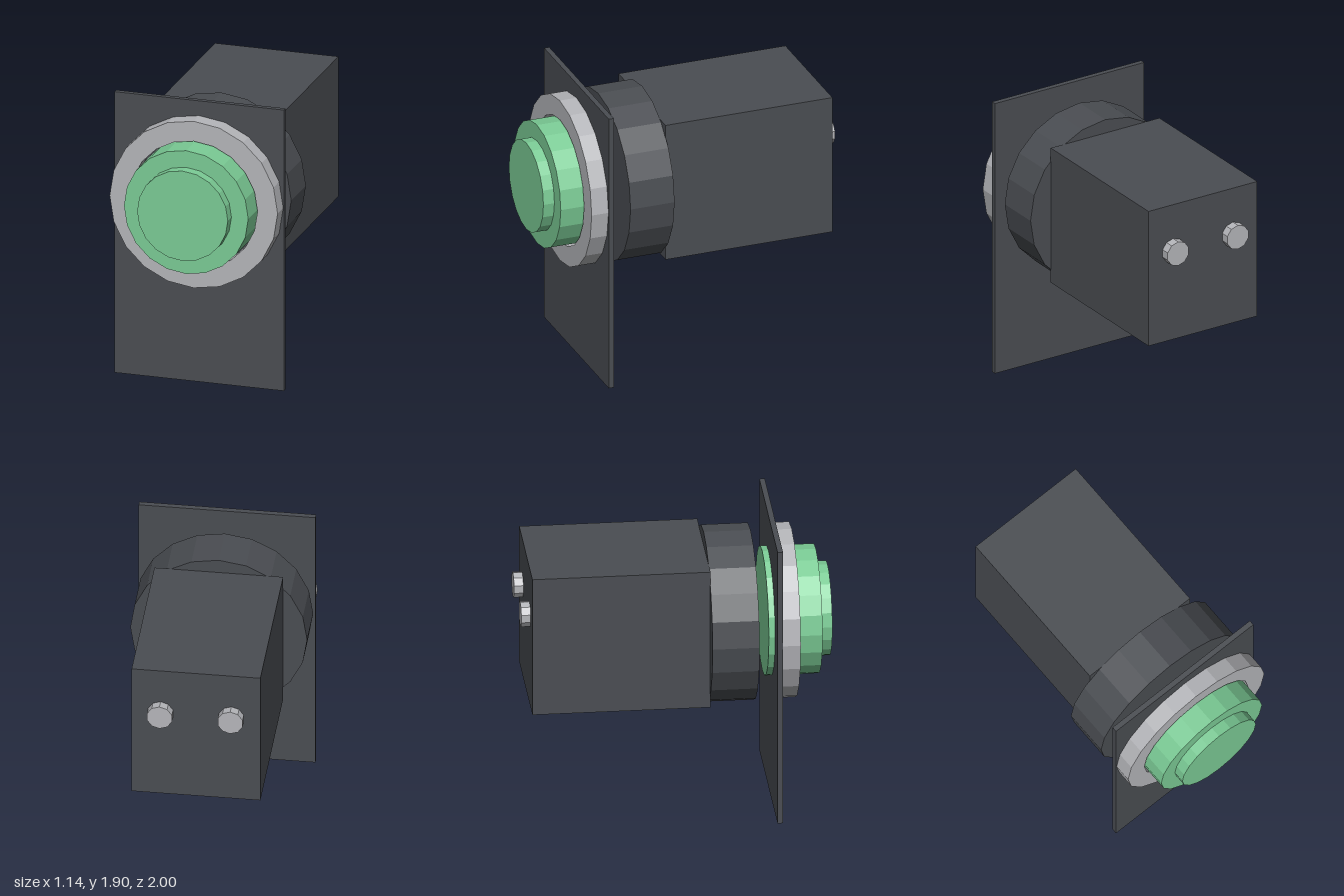
import * as THREE from 'three';

const AXIS_Y = 1.24; // height of the button axis
const SIDES = 20;

function material(name, color) {
  const m = new THREE.MeshStandardMaterial({ color, flatShading: true });
  m.name = name;
  return m;
}

// Regular polygon with a corner at the top
function polygonPoints(radius, sides) {
  return Array.from({ length: sides }, (_, i) => {
    const a = Math.PI / 2 + (i / sides) * Math.PI * 2;
    return new THREE.Vector2(radius * Math.cos(a), radius * Math.sin(a));
  });
}

export function createModel() {
  const group = new THREE.Group();
  const dark = material('darkGrey', 0x4a4d52);
  const metal = material('lightGrey', 0xb4b5b9);
  const green = material('green', 0x7bcb95);

  function add(name, geometry, mat, x, y, z) {
    const mesh = new THREE.Mesh(geometry, mat);
    mesh.name = name;
    mesh.position.set(x, y, z);
    group.add(mesh);
  }

  // Box spanning z0 to z1
  function box(name, mat, w, h, y, z0, z1) {
    add(name, new THREE.BoxGeometry(w, h, z1 - z0), mat, 0, y, (z0 + z1) / 2);
  }

  // Faceted disc lying along z, from z0 to z1
  function disc(name, mat, radius, z0, z1, x = 0, y = AXIS_Y, sides = SIDES) {
    const geometry = new THREE.CylinderGeometry(radius, radius, z1 - z0, sides);
    geometry.rotateX(Math.PI / 2);
    add(name, geometry, mat, x, y, (z0 + z1) / 2);
  }

  // Upright label plate
  box('plate', dark, 1.14, 1.905, 0.9525, 0.62, 0.655);

  // Metal bezel ring on the plate
  const ring = new THREE.Shape(polygonPoints(0.565, SIDES));
  ring.holes.push(new THREE.Path(polygonPoints(0.43, SIDES).reverse()));
  add('bezelRing', new THREE.ExtrudeGeometry(ring, { depth: 0.115, bevelEnabled: false }),
    metal, 0, AXIS_Y, 0.655);

  // Stepped push button, passing through the plate
  disc('buttonBase', green, 0.418, 0.58, 0.925);
  disc('buttonCap', green, 0.305, 0.925, 1.0);

  // Rear collar and switch housing
  disc('collar', dark, 0.57, 0.203, 0.505);
  box('housing', dark, 0.83, 0.95, AXIS_Y, -0.94, 0.205);

  // Pair of terminals on the back
  for (const side of [-1, 1]) {
    disc(side < 0 ? 'rightTerminal' : 'leftTerminal', metal, 0.084, -1.0, -0.94, side * 0.228, 1.392, 10);
  }

  return group;
}
